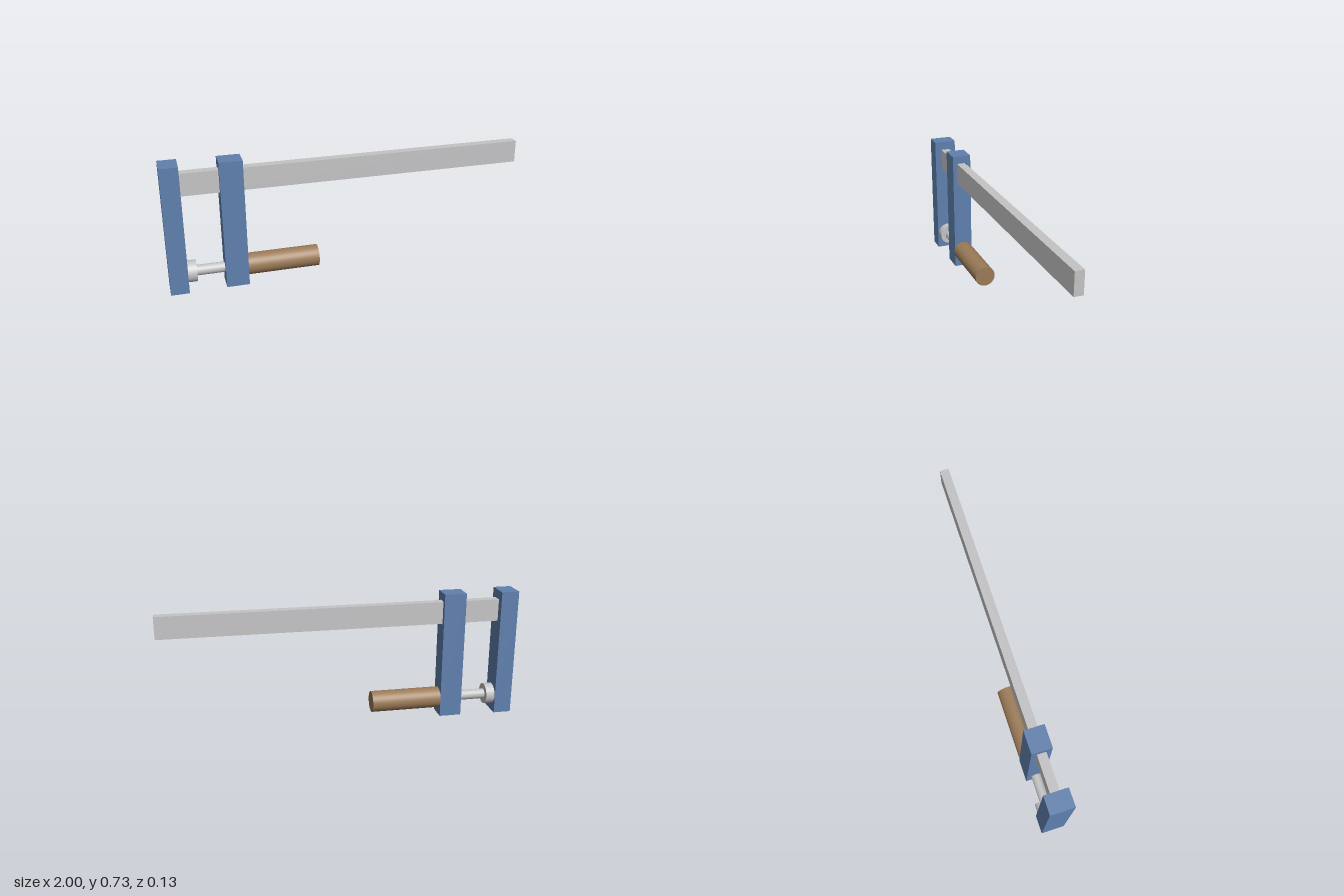
import * as THREE from 'three';

const blue = new THREE.MeshStandardMaterial({ name: 'blue paint', color: 0x6080ae });
const steel = new THREE.MeshStandardMaterial({ name: 'steel', color: 0xc4c4c6 });
const wood = new THREE.MeshStandardMaterial({ name: 'wood', color: 0x9c7b58 });

const HEIGHT = 0.725;
const SCREW_Y = 0.1;
const BAR = { bottom: 0.55, top: 0.675, half: 0.025 };

export function createModel() {
  const group = new THREE.Group();
  group.name = 'barClamp';

  const add = (name, geometry, material) => {
    const mesh = new THREE.Mesh(geometry, material);
    mesh.name = name;
    group.add(mesh);
  };

  // Box spanning x0..x1 and y0..y1, centred on z
  const box = (x0, x1, y0, y1, half) =>
    new THREE.BoxGeometry(x1 - x0, y1 - y0, half * 2)
      .translate((x0 + x1) / 2, (y0 + y1) / 2, 0);

  // Faceted rod along x at screw height
  const rod = (x0, x1, radius, sides) =>
    new THREE.CylinderGeometry(radius, radius, x1 - x0, sides)
      .rotateZ(-Math.PI / 2)
      .translate((x0 + x1) / 2, SCREW_Y, 0);

  // Rectangle outline in the z-y plane
  const rectangle = (PathType, half, y0, y1) => {
    const path = new PathType();
    path.moveTo(-half, y0);
    path.lineTo(half, y0);
    path.lineTo(half, y1);
    path.lineTo(-half, y1);
    path.closePath();
    return path;
  };

  // Fixed jaw and the bar it carries
  add('fixedJaw', box(-1, -0.9, 0, HEIGHT, 0.065), blue);
  add('bar', box(-0.905, 1, BAR.bottom, BAR.top, BAR.half), steel);

  // Sliding jaw, with a slightly loose slot around the bar
  const outline = rectangle(THREE.Shape, 0.055, 0, HEIGHT);
  outline.holes.push(
    rectangle(THREE.Path, BAR.half + 0.005, BAR.bottom - 0.005, BAR.top + 0.005)
  );
  const slider = new THREE.ExtrudeGeometry(outline, { depth: 0.125, bevelEnabled: false })
    .rotateY(Math.PI / 2)
    .translate(-0.697, 0, 0);
  add('slidingJaw', slider, blue);

  // Screw, pressure pad and handle
  add('screw', rod(-0.86, -0.56, 0.029, 24), steel);
  add('pressurePad', rod(-0.9, -0.85, 0.06, 32), steel);
  add('handle', rod(-0.572, -0.174, 0.06, 32), wood);

  return group;
}
